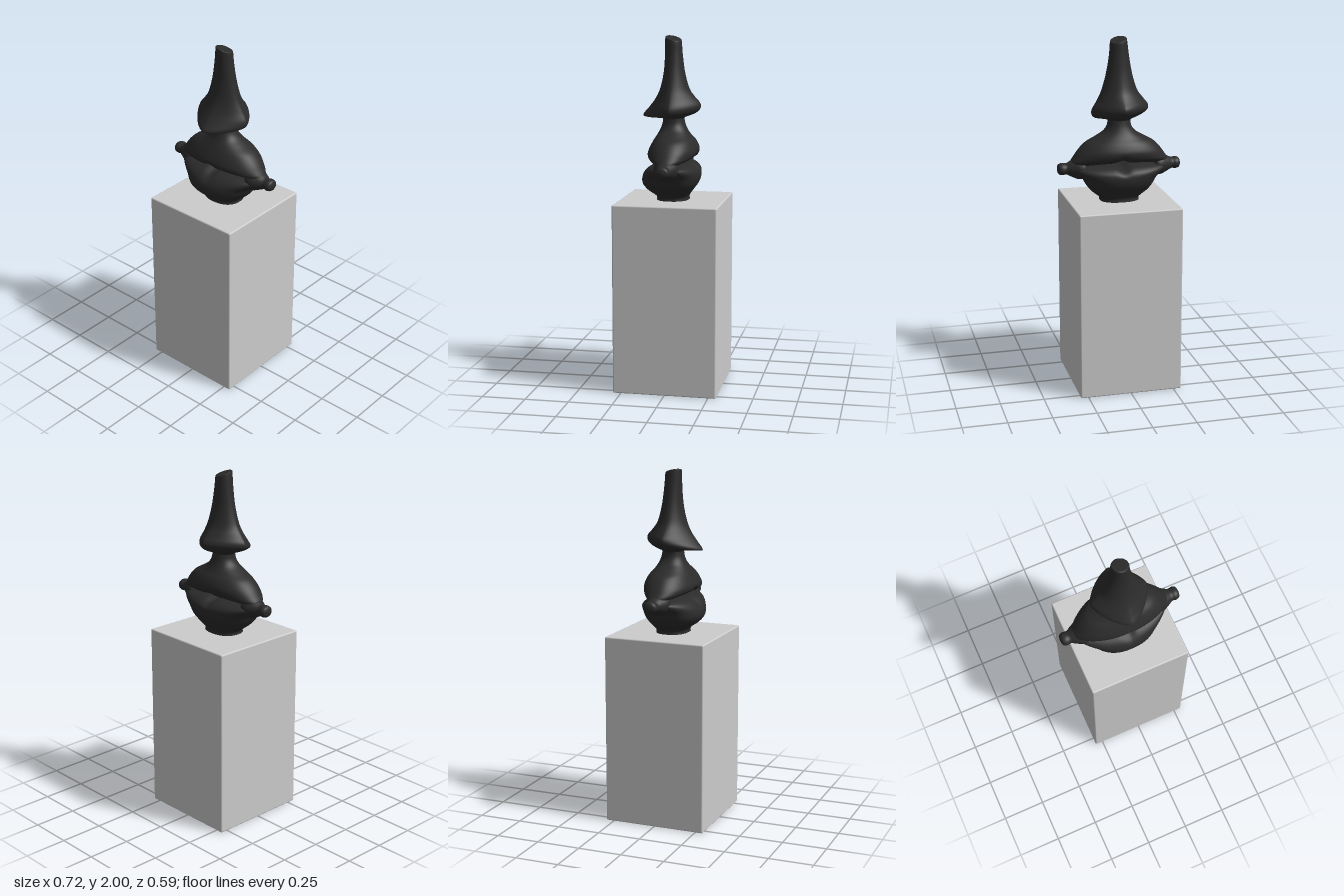
import * as THREE from 'three';
import { RoundedBoxGeometry } from 'three/addons/geometries/RoundedBoxGeometry.js';

const lerpSpline = (a, b, c, d, t) =>
  b + 0.5 * t * (c - a + t * (2 * a - 5 * b + 4 * c - d + t * (3 * (b - c) + d - a)));

// Smooth loft through rows from top to bottom:
// [y, reach +x, reach -x, reach +z, reach -z, pointedness, slope in x, slope in z]
function loft(rows, bend = (x, y) => y, segments = 144, steps = 5) {
  const rings = [];
  const last = rows.length - 1;
  for (let i = 0; i < last; i++) {
    for (let s = 0; s < steps; s++) {
      const p0 = rows[Math.max(i - 1, 0)], p3 = rows[Math.min(i + 2, last)];
      rings.push(rows[i].map((v, k) => lerpSpline(p0[k], v, rows[i + 1][k], p3[k], s / steps)));
    }
  }
  rings.push(rows[last]);

  const positions = [], index = [];
  rings.forEach(([y, xp, xn, zp, zn, p, tx, tz]) => {
    for (let j = 0; j < segments; j++) {
      const a = (j / segments) * Math.PI * 2;
      const c = Math.cos(a), s = Math.sin(a);
      const x = Math.max(c > 0 ? xp : xn, 0) * Math.sign(c) * Math.abs(c) ** p;
      const z = Math.max(s > 0 ? zp : zn, 0) * Math.sign(s) * Math.abs(s) ** p;
      positions.push(x, bend(x, y + tx * x + tz * z), z);
    }
  });
  for (let i = 0; i < rings.length - 1; i++) {
    for (let j = 0; j < segments; j++) {
      const k = (j + 1) % segments;
      const a = i * segments + j, b = i * segments + k;
      index.push(a, b, a + segments, b, b + segments, a + segments);
    }
  }
  const geometry = new THREE.BufferGeometry();
  geometry.setAttribute('position', new THREE.Float32BufferAttribute(positions, 3));
  geometry.setIndex(index);
  geometry.computeVertexNormals();
  return geometry;
}

// Lips droop toward the corners and part around a small hole in the middle
const lipBend = (part) => (x, y) => {
  const w = Math.max(0, 1 - Math.abs(y - 1.3) / 0.08);
  return y + w * (part * Math.exp(-((x / 0.03) ** 2)) - 0.02 * (x / 0.3) ** 2);
};

export function createModel() {
  const group = new THREE.Group();
  const stone = new THREE.MeshStandardMaterial({ color: 0xcccccc });
  stone.name = 'pale stone';
  const bronze = new THREE.MeshStandardMaterial({ color: 0x2b2b2b });
  bronze.name = 'dark bronze';

  const add = (name, geometry, material) => {
    const mesh = new THREE.Mesh(geometry, material);
    mesh.name = name;
    group.add(mesh);
    return mesh;
  };

  // Pedestal
  add('pedestal', new RoundedBoxGeometry(0.59, 1.08, 0.59, 3, 0.008), stone).position.y = 0.54;

  // Four-sided nose with slanted cut top, flared tips and a stem below
  add('nose', loft([
    [1.99, 0, 0, 0, 0, 1, -0.2, 0.25],
    [1.99, 0.025, 0.025, 0.025, 0.025, 1, -0.2, 0.25],
    [1.988, 0.044, 0.042, 0.044, 0.04, 1, -0.2, 0.25],
    [1.975, 0.05, 0.046, 0.048, 0.045, 1, -0.15, 0.2],
    [1.9, 0.056, 0.056, 0.049, 0.05, 1, 0, 0],
    [1.8, 0.074, 0.074, 0.056, 0.063, 1.05, 0, 0],
    [1.71, 0.1, 0.102, 0.076, 0.088, 1.15, 0, 0],
    [1.655, 0.128, 0.138, 0.105, 0.122, 1.3, -0.03, -0.05],
    [1.615, 0.155, 0.165, 0.142, 0.15, 1.4, -0.06, -0.1],
    [1.586, 0.157, 0.167, 0.172, 0.155, 1.4, -0.07, -0.12],
    [1.566, 0.138, 0.145, 0.168, 0.135, 1.35, -0.07, -0.09],
    [1.555, 0.1, 0.1, 0.11, 0.09, 1.15, -0.03, -0.02],
    [1.545, 0.068, 0.068, 0.062, 0.062, 1, 0, 0],
    [1.52, 0.064, 0.064, 0.058, 0.058, 1, 0, 0],
    [1.47, 0.06, 0.06, 0.055, 0.055, 1, 0, 0],
  ]), bronze);

  // Lips are the same left and right: [y, half width, front, back]
  const lipRows = (rows, p) => rows.map(([y, x, f, b]) => [y, x, x, f, b, p, 0, 0]);

  add('upperLip', loft(lipRows([
    [1.55, 0.064, 0.058, 0.058],
    [1.51, 0.068, 0.064, 0.066],
    [1.475, 0.092, 0.077, 0.08],
    [1.445, 0.14, 0.094, 0.098],
    [1.415, 0.195, 0.112, 0.122],
    [1.375, 0.236, 0.132, 0.14],
    [1.345, 0.262, 0.139, 0.137],
    [1.322, 0.282, 0.122, 0.118],
    [1.304, 0.288, 0.07, 0.07],
    [1.295, 0.288, 0, 0],
  ], 0.95), lipBend(0.016)), bronze);

  add('lowerLip', loft(lipRows([
    [1.3, 0.285, 0, 0],
    [1.297, 0.285, 0.055, 0.055],
    [1.283, 0.28, 0.11, 0.112],
    [1.255, 0.255, 0.15, 0.146],
    [1.215, 0.215, 0.172, 0.152],
    [1.175, 0.192, 0.172, 0.14],
    [1.14, 0.165, 0.145, 0.115],
    [1.112, 0.13, 0.105, 0.095],
    [1.095, 0.112, 0.092, 0.088],
    [1.07, 0.115, 0.095, 0.092],
  ], 0.85), lipBend(-0.022)), bronze);

  // Knobs at the mouth corners
  const profile = new THREE.SplineCurve([
    [0, 0.19], [0.055, 0.2], [0.062, 0.235], [0.046, 0.275], [0.032, 0.305],
    [0.034, 0.33], [0.026, 0.35], [0, 0.358],
  ].map(([r, x]) => new THREE.Vector2(r, x)));
  const points = profile.getPoints(40).map((v) => v.set(Math.max(v.x, 0), v.y));
  const knob = new THREE.LatheGeometry(points, 40);
  for (const side of [1, -1]) {
    const corner = add(side > 0 ? 'leftMouthCorner' : 'rightMouthCorner', knob, bronze);
    corner.rotation.z = -side * Math.PI / 2;
    corner.position.y = 1.273;
    corner.scale.z = 1.15;
  }
  return group;
}
